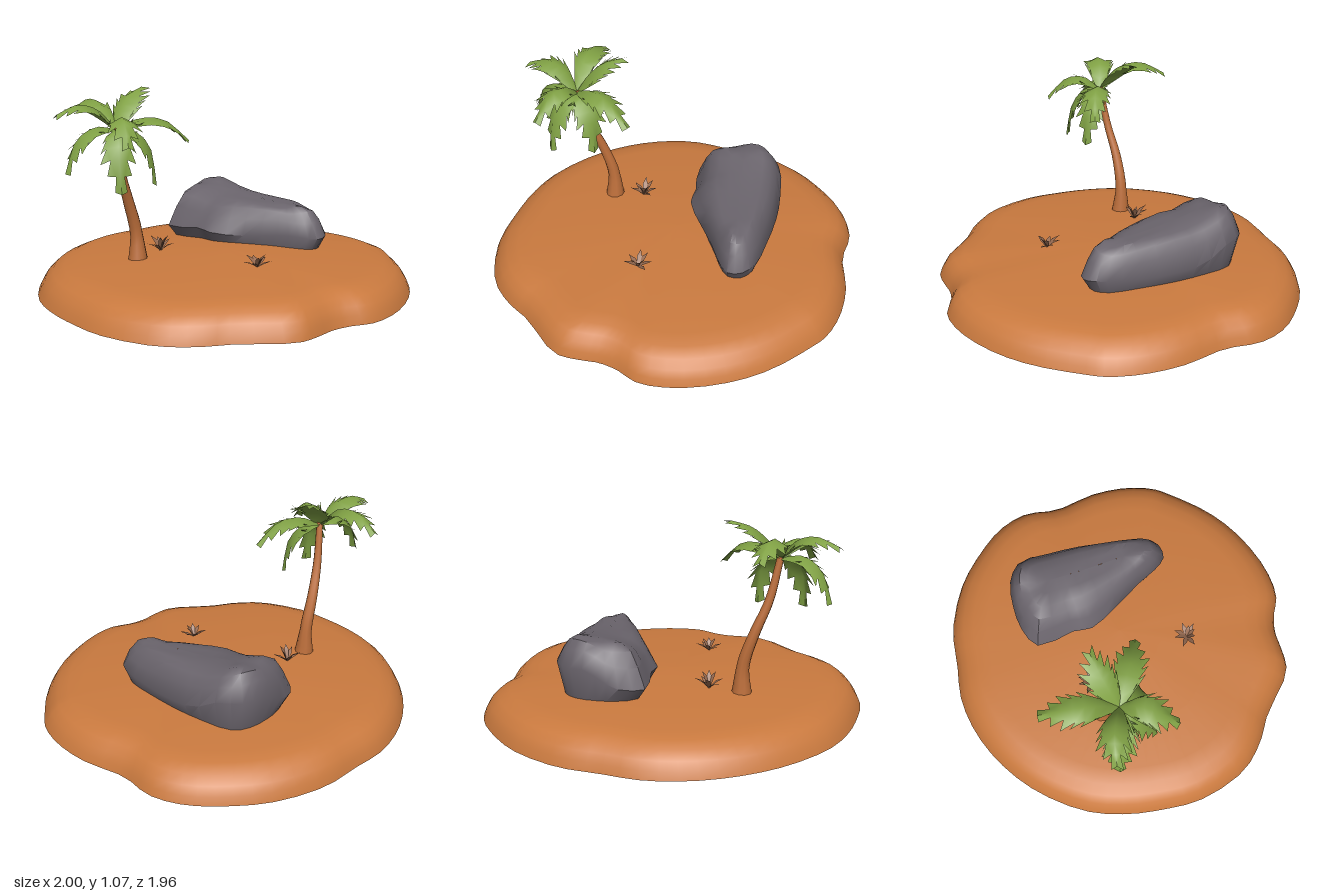
import * as THREE from 'three';
import { toCreasedNormals } from 'three/addons/utils/BufferGeometryUtils.js';

const V = (x, y, z) => new THREE.Vector3(x, y, z);
const mat = (name, color, side = THREE.FrontSide) => {
  const m = new THREE.MeshStandardMaterial({ color, side });
  m.name = name;
  return m;
};

function fromTriangles(points, index) {
  const g = new THREE.BufferGeometry().setFromPoints(points);
  g.setIndex(index);
  g.computeVertexNormals();
  return g;
}

// Skin over closed rings of equal length, counter-clockwise from above, listed upward
function loft(rings) {
  const n = rings[0].length, index = [];
  for (let r = 0; r < rings.length - 1; r++) {
    for (let i = 0; i < n; i++) {
      const j = (i + 1) % n, a = r * n + i, b = r * n + j;
      index.push(a, b, b + n, a, b + n, a + n);
    }
  }
  return fromTriangles(rings.flat(), index);
}

// Smooth closed outline on the ground from [x, z] pairs
function outline(pairs, count) {
  const c = new THREE.CatmullRomCurve3(pairs.map(([x, z]) => V(x, 0, z)), true);
  return c.getPoints(count).slice(0, count);
}

const shore = outline([
  [0.18, -0.98], [-0.1, -0.97], [-0.3, -0.9], [-0.5, -0.83], [-0.68, -0.7], [-0.83, -0.52],
  [-0.94, -0.3], [-1, -0.02], [-0.98, 0.2], [-0.92, 0.4], [-0.83, 0.6], [-0.63, 0.81],
  [-0.45, 0.88], [-0.3, 0.9], [-0.02, 0.98], [0.1, 0.94], [0.2, 0.89], [0.3, 0.87],
  [0.43, 0.87], [0.6, 0.78], [0.78, 0.6], [0.9, 0.4], [0.98, 0.15], [1, 0.05],
  [0.98, -0.12], [0.9, -0.32], [0.76, -0.52], [0.7, -0.7], [0.58, -0.83], [0.4, -0.92],
], 72);
const rimHeight = x => 0.012 * x * x;

// Sand mound
function islandGeometry() {
  const profile = [[1, 0], [0.985, 0.045], [0.96, 0.085], [0.92, 0.122], [0.86, 0.147],
    [0.78, 0.16], [0.55, 0.178], [0.25, 0.193], [0, 0.197]];
  return loft(profile.map(([s, y]) =>
    shore.map(p => V(p.x * s, y || rimHeight(p.x), p.z * s))));
}

// Flat underside, left open toward the front right with a jagged edge
function undersideGeometry() {
  const covered = p => p.z - p.x < 0.38;
  const start = shore.findIndex((p, i) => covered(p) && !covered(shore.at(i - 1)));
  const rim = shore.map((_, i) => shore[(start + i) % shore.length]).filter(covered);
  const edge = [[-0.67, -0.04], [-0.3, 0.3], [-0.22, 0.44], [0.05, 0.62], [0.11, 0.74], [0.24, 0.57]];
  const ends = rim[0].x > rim[rim.length - 1].x ? edge : edge.reverse();
  const shape = new THREE.Shape([...rim.map(p => [p.x, p.z]), ...ends]
    .map(([x, z]) => new THREE.Vector2(x, z)));
  const g = new THREE.ShapeGeometry(shape).rotateX(Math.PI / 2);
  const pos = g.attributes.position;
  for (let i = 0; i < pos.count; i++) pos.setY(i, rimHeight(pos.getX(i)));
  return g;
}

// Boulder: an outline drawn in toward a sloping ridge
function rockGeometry() {
  const foot = outline([
    [-0.07, -0.25], [-0.03, -0.15], [0.12, -0.04], [0.28, 0.07], [0.37, 0.14], [0.46, 0.18],
    [0.53, 0.14], [0.55, 0.05], [0.5, -0.12], [0.43, -0.32], [0.35, -0.48], [0.24, -0.62],
    [0.13, -0.64], [0, -0.6], [-0.1, -0.54], [-0.18, -0.43],
  ], 32);
  const ridge = new THREE.Line3(V(0.13, 0, -0.42), V(0.36, 0, -0.04));
  const levels = [[0.17, -1], [0, 0], [0.15, 0.48], [0.3, 0.8], [0.5, 0.95], [0.75, 0.99], [1, 1]];
  const { smoothstep, lerp } = THREE.MathUtils;
  return toCreasedNormals(loft(levels.map(([inset, h], k) => foot.map((p, i) => {
    const q = p.clone().lerp(ridge.closestPointToPoint(p, true, V(0, 0, 0)), inset);
    const widest = 0.25 + 0.1 * smoothstep(-p.z, 0.42, 0.62) * smoothstep(p.x, -0.12, 0.08);
    const top = 0.408 + 0.27 * q.z * q.z;
    q.y = h < 0 ? 0.172 : lerp(widest, top, h);
    if (k > 0 && k < 5) q.y += 0.008 * Math.sin(i * 0.95 + k * 1.3);
    return q;
  }))), 0.8);
}

// Curved trunk with a flared foot
function trunkGeometry() {
  const curve = new THREE.CatmullRomCurve3([
    V(-0.48, 0.17, -0.02), V(-0.486, 0.33, -0.022), V(-0.532, 0.5, 0.005),
    V(-0.582, 0.67, 0.055), V(-0.612, 0.89, 0.1),
  ]);
  return loft(Array.from({ length: 15 }, (_, k) => {
    const t = k / 14, c = curve.getPoint(t);
    const r = 0.037 - 0.02 * t + 0.016 * Math.max(0, 1 - t * 5);
    return Array.from({ length: 10 }, (_, i) => {
      const a = i / 10 * Math.PI * 2;
      return V(c.x + Math.cos(a) * r, c.y + Math.cos(a) * r * 0.25, c.z - Math.sin(a) * r);
    });
  }));
}

// Broad folded palm leaf with a few large forward-pointing teeth on both edges
function frondGeometry(path, width) {
  const curve = new THREE.CatmullRomCurve3(path), n = 7;
  const end = path[path.length - 1];
  const side = V(end.x - path[0].x, 0, end.z - path[0].z).normalize().cross(V(0, 1, 0));
  const points = [], index = [];
  for (let i = 0; i <= n; i++) {
    const t = i / n, p = curve.getPoint(t), tan = curve.getTangent(t);
    const up = side.clone().cross(tan).normalize();
    const w = width * Math.min(1, 0.25 + t * 2.8) * Math.min(1, (1 - t) * 2.4);
    const edge = (s, out, along) => p.clone().addScaledVector(side, s * w * out)
      .addScaledVector(up, -w * out * 0.5).addScaledVector(tan, along);
    // five points per step: spine, two inner edges, two tooth tips
    points.push(p, edge(-1, 0.78, 0), edge(1, 0.78, 0), edge(-1, 1.15, 0.075), edge(1, 1.15, 0.075));
    if (i === n) break;
    const a = i * 5, b = a + 5;
    index.push(a, b, b + 1, a, b + 1, a + 1, a, a + 2, b + 2, a, b + 2, b);
    if (i > 0) index.push(a + 1, b + 1, a + 3, a + 2, a + 4, b + 2);
  }
  return fromTriangles(points, index);
}

// Tuft of dry blades bending outward
function tuftGeometry(height) {
  const points = [], index = [];
  for (let i = 0; i < 9; i++) {
    const a = i * 2.4, reach = i % 3 ? 0.075 : 0.045, h = height * (i % 3 ? 0.5 + 0.12 * (i % 4) : 1);
    const d = V(Math.cos(a), 0, Math.sin(a)), s = V(-d.z, 0, d.x).multiplyScalar(0.013);
    const mid = d.clone().multiplyScalar(reach * 0.5).setY(h * 0.7);
    const k = points.length;
    points.push(s.clone().multiplyScalar(-0.5), s.clone().multiplyScalar(0.5),
      mid.clone().sub(s), mid.clone().add(s), d.clone().multiplyScalar(reach).setY(h));
    index.push(k, k + 1, k + 3, k, k + 3, k + 2, k + 2, k + 3, k + 4);
  }
  return fromTriangles(points, index);
}

export function createModel() {
  const model = new THREE.Group();
  model.name = 'desertIsland';
  const sand = mat('sand', 0xca7a3f, THREE.DoubleSide);
  const stone = mat('stone', 0x6a646c);
  const bark = mat('bark', 0xbc6e3a);
  const leaf = mat('leaf', 0x80a144, THREE.DoubleSide);
  const dry = mat('dryGrass', 0x966a50, THREE.DoubleSide);
  const add = (parent, name, geometry, material) => {
    const m = new THREE.Mesh(geometry, material);
    m.name = name;
    parent.add(m);
    return m;
  };

  add(model, 'island', islandGeometry(), sand);
  add(model, 'islandUnderside', undersideGeometry(), sand);
  add(model, 'rock', rockGeometry(), stone);
  add(model, 'buriedStone', new THREE.BoxGeometry(0.04, 0.008, 0.3), stone).position.set(0.9, 0.01, 0.15);

  const palm = new THREE.Group();
  palm.name = 'palmTree';
  model.add(palm);
  add(palm, 'trunk', trunkGeometry(), bark);

  // Fronds: middle points and tip, all starting at the crown
  const crown = V(-0.61, 0.88, 0.1);
  [
    [[-0.66, 1.0, -0.02], [-0.7, 1.01, -0.14], [-0.73, 0.94, -0.27]],
    [[-0.57, 0.97, 0.05], [-0.51, 1.04, -0.01], [-0.43, 1.07, -0.07]],
    [[-0.5, 0.93, 0.11], [-0.37, 0.92, 0.12], [-0.24, 0.81, 0.12]],
    [[-0.61, 0.95, 0.19], [-0.62, 0.94, 0.29], [-0.63, 0.83, 0.4]],
    [[-0.62, 0.88, 0.18], [-0.64, 0.78, 0.26], [-0.64, 0.59, 0.3]],
    [[-0.7, 0.98, 0.1], [-0.8, 1.01, 0.11], [-0.91, 0.97, 0.14]],
    [[-0.72, 0.9, 0.13], [-0.82, 0.84, 0.14], [-0.88, 0.68, 0.15]],
    [[-0.54, 0.88, 0.13], [-0.46, 0.8, 0.16], [-0.43, 0.6, 0.18]],
  ].forEach((path, i) => add(palm, 'frond' + (i + 1),
    frondGeometry([crown, ...path.map(p => V(...p))], 0.075), leaf));

  add(model, 'grassTuftBack', tuftGeometry(0.08), dry).position.set(-0.33, 0.19, -0.1);
  add(model, 'grassTuftFront', tuftGeometry(0.06), dry).position.set(0.03, 0.188, 0.38);
  return model;
}
